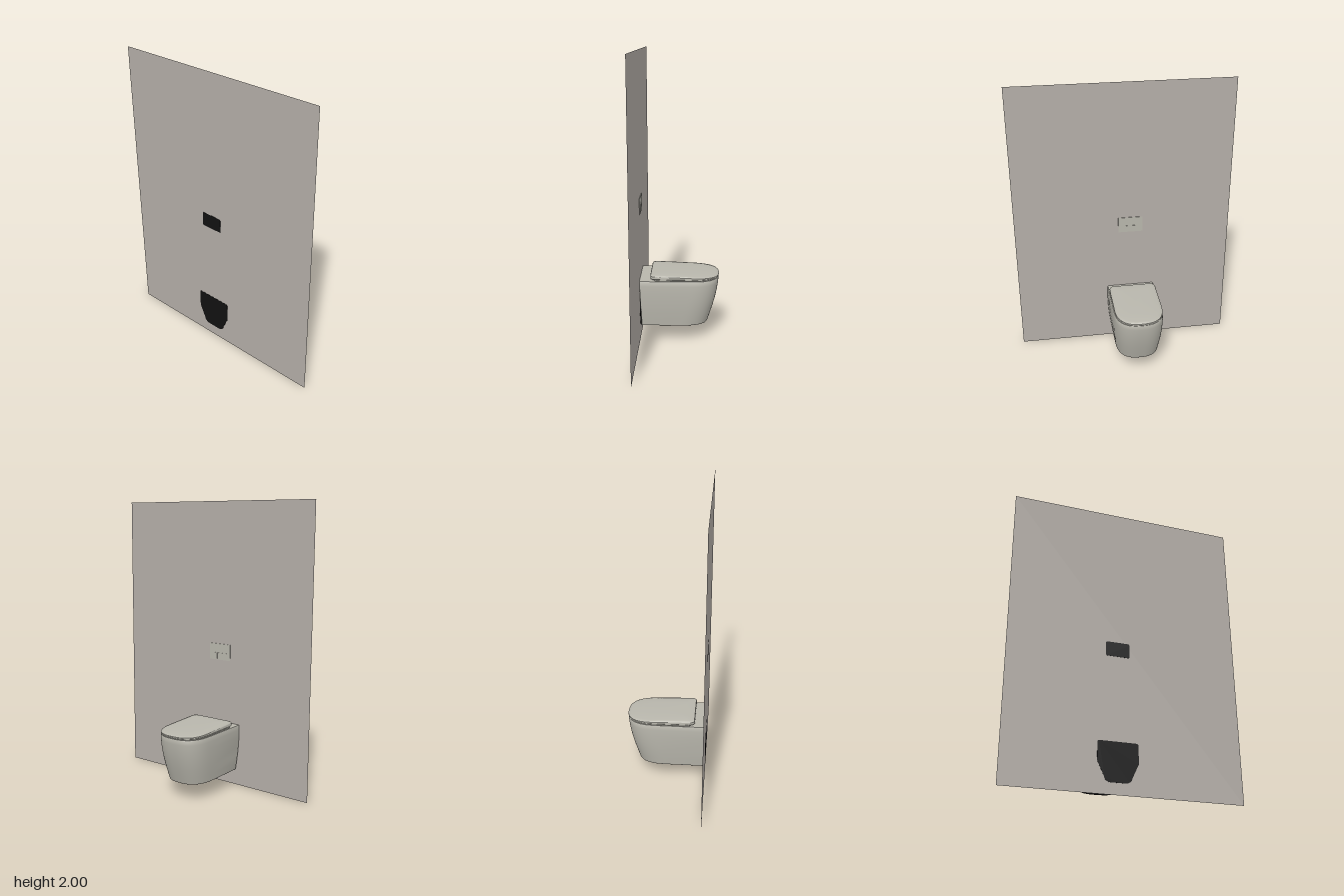
import * as THREE from 'three';
import { toCreasedNormals } from 'three/addons/utils/BufferGeometryUtils.js';

const MID_Z = -0.051; // centre line of the fixture on the wall
const WALL_X = -0.2745;

// Plan outline: straight back with rounded corners, straight sides, superelliptic front.
function outline(x0, x1, half, r) {
  const pts = [];
  const front = 0.2, n = 2.6, xs = x1 - front;
  for (let i = 0; i <= 6; i++) {
    const a = (i / 6) * Math.PI / 2;
    pts.push([x0 + r - r * Math.cos(a), half - r + r * Math.sin(a)]);
  }
  for (let i = 0; i <= 20; i++) {
    const a = Math.PI / 2 * (1 - i / 20);
    pts.push([xs + front * Math.pow(Math.max(0, Math.cos(a)), 2 / n), half * Math.pow(Math.sin(a), 2 / n)]);
  }
  const mirrored = pts.slice(0, -1).reverse().map(([x, z]) => [x, -z]);
  return pts.concat(mirrored);
}

// Closed loft through rings { x0, x1, half, r, y(x) }, listed from bottom to top.
function loft(rings, crease = 0.6) {
  const pos = [], index = [];
  let count = 0;
  for (const g of rings) {
    const ring = outline(g.x0, g.x1, g.half, g.r);
    count = ring.length;
    for (const [x, z] of ring) pos.push(x, g.y(x), z + MID_Z);
  }
  for (let k = 0; k < rings.length - 1; k++) {
    for (let i = 0; i < count; i++) {
      const a = k * count + i, b = k * count + (i + 1) % count;
      index.push(a, b, b + count, a, b + count, a + count);
    }
  }
  const cap = (k, up) => {
    const g = rings[k], c = pos.length / 3, xm = (g.x0 + g.x1) / 2;
    pos.push(xm, g.y(xm), MID_Z);
    for (let i = 0; i < count; i++) {
      const a = k * count + i, b = k * count + (i + 1) % count;
      if (up) index.push(c, a, b); else index.push(c, b, a);
    }
  };
  cap(0, false);
  cap(rings.length - 1, true);
  const geo = new THREE.BufferGeometry();
  geo.setAttribute('position', new THREE.Float32BufferAttribute(pos, 3));
  geo.setIndex(index);
  return toCreasedNormals(geo, crease);
}

const flat = (y) => () => y;
const slope = (yBack, yFront) => (x) => yBack + (yFront - yBack) * (x + 0.2) / 0.475;

// Rounded plate lying against the wall; sizes along z and y.
function wallPlate(width, height, depth, r) {
  const w = width / 2, h = height / 2, s = new THREE.Shape();
  s.moveTo(-w + r, -h);
  s.lineTo(w - r, -h).quadraticCurveTo(w, -h, w, -h + r);
  s.lineTo(w, h - r).quadraticCurveTo(w, h, w - r, h);
  s.lineTo(-w + r, h).quadraticCurveTo(-w, h, -w, h - r);
  s.lineTo(-w, -h + r).quadraticCurveTo(-w, -h, -w + r, -h);
  return new THREE.ExtrudeGeometry(s, { depth, bevelEnabled: false }).rotateY(Math.PI / 2);
}

export function createModel() {
  const model = new THREE.Group();
  const ceramic = new THREE.MeshStandardMaterial({ color: 0xb8b6ac });
  ceramic.name = 'ceramic';
  const plaster = new THREE.MeshStandardMaterial({ color: 0xb4aea8, side: THREE.DoubleSide });
  plaster.name = 'plaster';
  const black = new THREE.MeshStandardMaterial({ color: 0x111111 });
  black.name = 'black';

  const add = (name, geo, mat, x = 0, y = 0, z = 0) => {
    const mesh = new THREE.Mesh(geo, mat);
    mesh.name = name;
    mesh.position.set(x, y, z);
    model.add(mesh);
    return mesh;
  };

  // Wall panel
  add('wall', new THREE.PlaneGeometry(1.55, 2).rotateY(Math.PI / 2), plaster, WALL_X, 1, 0);

  // Bowl: [height, back x, front x, half width]
  const bowl = [
    [0.12, -0.262, 0.198, 0.154], [0.17, -0.264, 0.214, 0.160], [0.23, -0.266, 0.233, 0.167],
    [0.30, -0.269, 0.252, 0.172], [0.36, -0.271, 0.264, 0.174], [0.41, -0.273, 0.271, 0.174],
    [0.438, -0.274, 0.273, 0.172], [0.445, -0.274, 0.270, 0.169],
  ].map(([y, x0, x1, half]) => ({ x0, x1, half, r: 0.006, y: flat(y) }));
  add('bowl', loft(bowl), ceramic);

  // Dark underside of the bowl
  const under = [0.1185, 0.1202].map((y) => ({ x0: -0.262, x1: 0.197, half: 0.153, r: 0.006, y: flat(y) }));
  add('bowlUnderside', loft(under), black);

  // Seat
  add('seat', loft([
    { x0: -0.17, x1: 0.267, half: 0.164, r: 0.02, y: flat(0.444) },
    { x0: -0.17, x1: 0.272, half: 0.168, r: 0.02, y: flat(0.449) },
    { x0: -0.17, x1: 0.272, half: 0.168, r: 0.02, y: slope(0.458, 0.453) },
  ]), ceramic);

  // Lid, sloping down to the front with a softly domed top
  add('lid', loft([
    { x0: -0.197, x1: 0.270, half: 0.165, r: 0.03, y: slope(0.457, 0.453) },
    { x0: -0.200, x1: 0.275, half: 0.169, r: 0.032, y: slope(0.461, 0.456) },
    { x0: -0.200, x1: 0.275, half: 0.169, r: 0.032, y: slope(0.480, 0.463) },
    { x0: -0.197, x1: 0.271, half: 0.165, r: 0.032, y: slope(0.485, 0.467) },
    { x0: -0.185, x1: 0.255, half: 0.150, r: 0.03, y: slope(0.488, 0.470) },
    { x0: -0.130, x1: 0.190, half: 0.090, r: 0.02, y: slope(0.491, 0.474) },
  ], 0.7), ceramic);

  // Dark mounting plate of the bowl, set through the wall
  const m = new THREE.Shape();
  m.moveTo(-0.05, 0.075);
  m.lineTo(0.05, 0.075).quadraticCurveTo(0.085, 0.08, 0.09, 0.11);
  m.lineTo(0.132, 0.2).lineTo(0.132, 0.315).quadraticCurveTo(0.132, 0.33, 0.117, 0.33);
  m.lineTo(-0.117, 0.33).quadraticCurveTo(-0.132, 0.33, -0.132, 0.315);
  m.lineTo(-0.132, 0.2).lineTo(-0.09, 0.11).quadraticCurveTo(-0.085, 0.08, -0.05, 0.075);
  add('bowlMount', new THREE.ExtrudeGeometry(m, { depth: 0.0025, bevelEnabled: false }).rotateY(Math.PI / 2),
    black, WALL_X - 0.0012, 0, MID_Z);

  // Flush plate with two buttons and its dark back
  add('flushPlateBack', wallPlate(0.16, 0.1, 0.0025, 0.012), black, WALL_X - 0.0012, 0.952, MID_Z);
  add('flushPlate', wallPlate(0.175, 0.115, 0.004, 0.003), ceramic, WALL_X + 0.0005, 0.9525, MID_Z);
  for (const [name, width, z] of [['smallButton', 0.045, -0.008], ['largeButton', 0.085, -0.076]]) {
    add(name, wallPlate(width, 0.042, 0.0025, 0.002), ceramic, WALL_X + 0.0045, 0.924, z);
  }
  return model;
}
